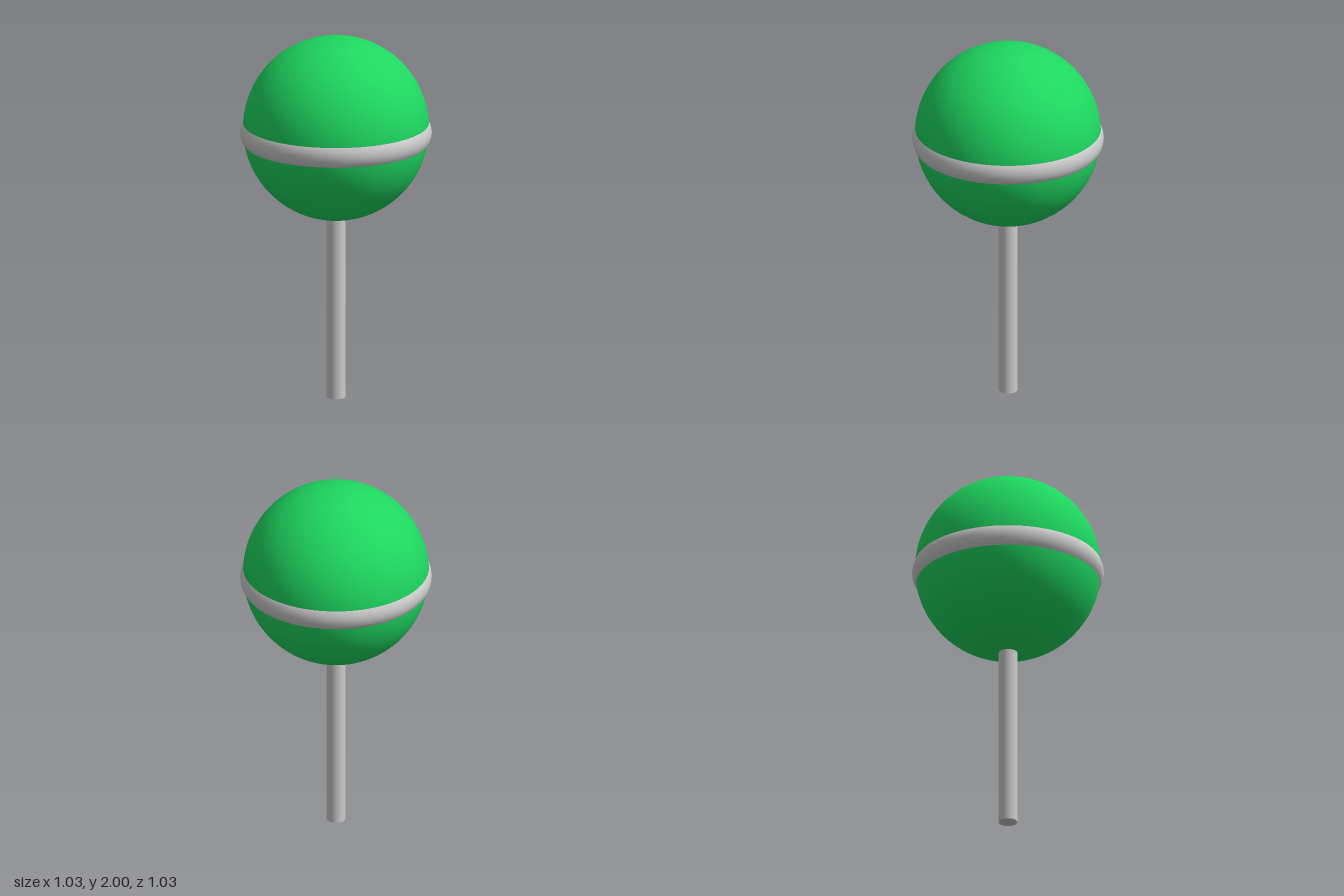
import * as THREE from 'three';

export function createModel() {
  const model = new THREE.Group();
  const grey = new THREE.MeshStandardMaterial({ color: 0xcccccc });
  const green = new THREE.MeshStandardMaterial({ color: 0x1ed760 });

  const add = (name, geometry, material, y) => {
    const mesh = new THREE.Mesh(geometry, material);
    mesh.name = name;
    mesh.position.y = y;
    model.add(mesh);
  };

  // Round sweet on top
  add('candyBall', new THREE.SphereGeometry(0.5, 64, 48), green, 1.5);

  // Band just below the middle, mostly sunk into the ball
  add('band', new THREE.TorusGeometry(0.42, 0.095, 24, 64).rotateX(Math.PI / 2), grey, 1.475);

  // Stick, reaching slightly into the ball
  add('stick', new THREE.CylinderGeometry(0.05, 0.05, 1.02, 32), grey, 0.51);

  return model;
}
